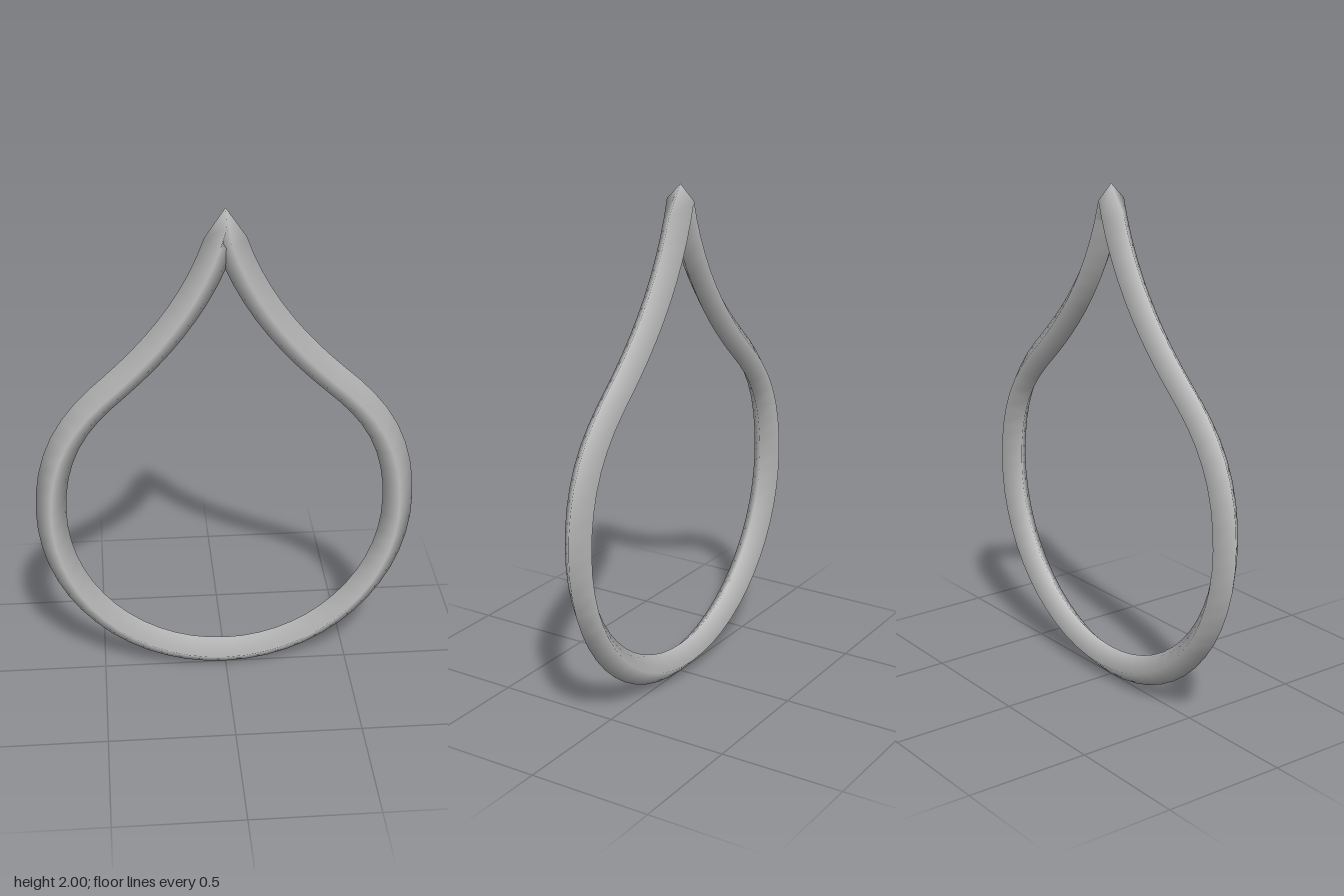
import * as THREE from 'three';

// One half of the drop's centre line, from the bottom up to the tip
const HALF = [
  [[0, 0.06], [0.38, 0.06], [0.69, 0.37], [0.69, 0.75]],        // round base
  [[0.69, 0.75], [0.69, 1.03], [0.57, 1.165], [0.44, 1.28]],    // shoulder
  [[0.44, 1.28], [0.27, 1.43], [0.08, 1.64], [0, 1.94]],        // concave neck
];

const bezier = (points, side) =>
  new THREE.CubicBezierCurve3(...points.map(([x, y]) => new THREE.Vector3(side * x, y, 0)));

export function createModel() {
  const group = new THREE.Group();
  group.name = 'dropRing';

  const lightGrey = new THREE.MeshStandardMaterial({ color: 0xc0c0c0 });
  lightGrey.name = 'light grey';

  // Closed outline: up one side, then down the mirrored side
  const outline = new THREE.CurvePath();
  HALF.forEach((points) => outline.add(bezier(points, 1)));
  [...HALF].reverse().forEach((points) => outline.add(bezier([...points].reverse(), -1)));

  // Four-sided tube with smooth normals; the even count puts one ring at the tip
  const frame = new THREE.Mesh(new THREE.TubeGeometry(outline, 64, 0.06, 4, true), lightGrey);
  frame.name = 'dropFrame';
  group.add(frame);

  return group;
}
